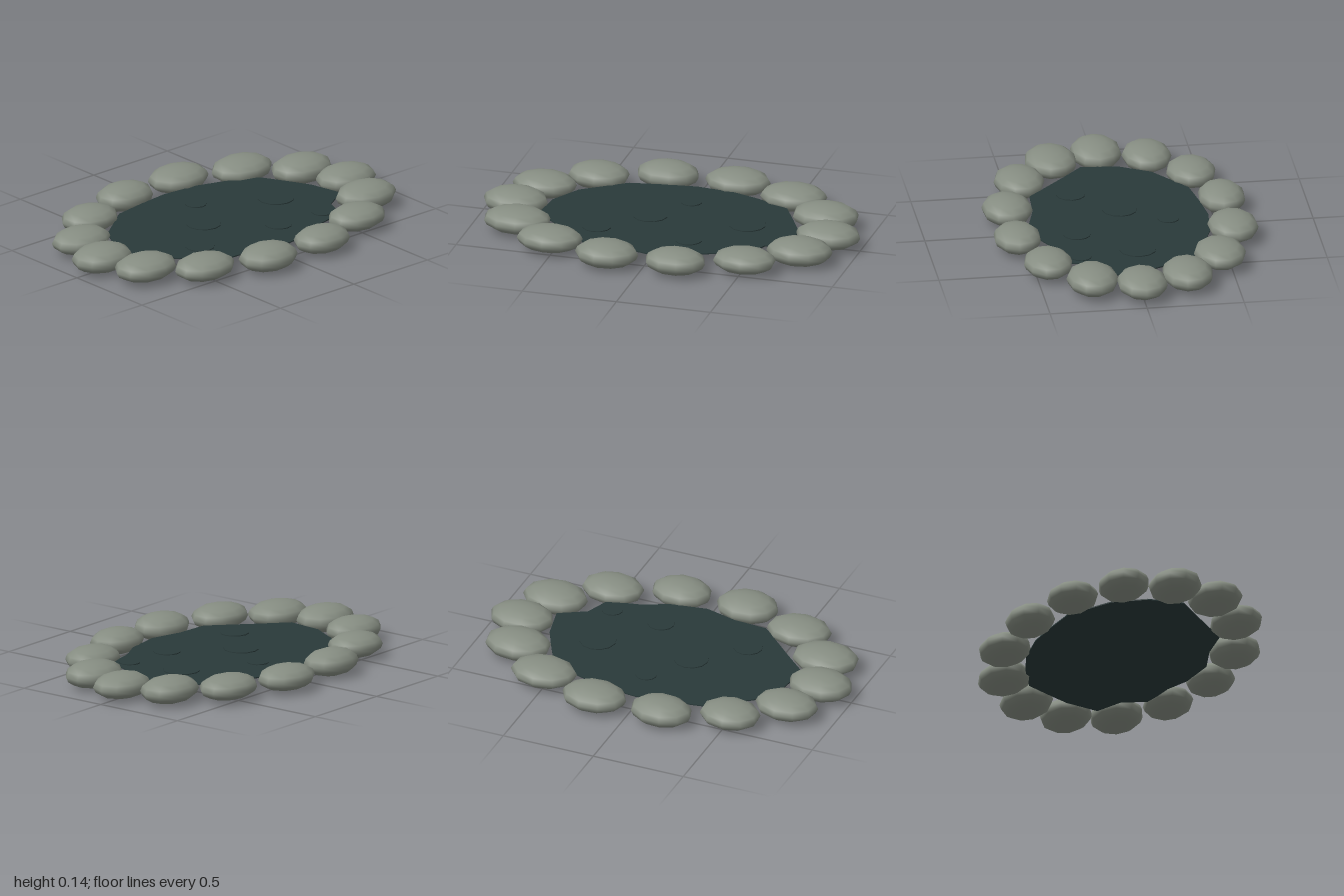
import * as THREE from 'three';

export function createModel() {
  const model = new THREE.Group();
  model.name = 'stoneRingedPond';

  const stoneMat = new THREE.MeshStandardMaterial({ color: 0x868d82 });
  stoneMat.name = 'grey stone';
  const waterMat = new THREE.MeshStandardMaterial({ color: 0x2a3a3a });
  waterMat.name = 'dark water';

  // Water: thin sheet with an uneven shoreline tucked between the stones
  const shore = [
    [0, -0.46], [0.2, -0.44], [0.35, -0.39], [0.52, -0.31], [0.6, -0.16], [0.65, -0.06],
    [0.69, 0.12], [0.55, 0.2], [0.5, 0.33], [0.32, 0.37], [0.2, 0.43], [0, 0.465],
    [-0.17, 0.42], [-0.35, 0.41], [-0.57, 0.2], [-0.68, 0.1], [-0.66, -0.09],
    [-0.57, -0.25], [-0.35, -0.41], [-0.17, -0.44],
  ];
  const waterY = 0.06;
  const outline = new THREE.Shape(shore.map(([x, z]) => new THREE.Vector2(x, -z)));
  const waterGeo = new THREE.ExtrudeGeometry(outline, { depth: 0.006, bevelEnabled: false });
  waterGeo.rotateX(-Math.PI / 2);
  const water = new THREE.Mesh(waterGeo, waterMat);
  water.name = 'water';
  water.position.y = waterY - 0.006;
  model.add(water);

  // Ripples: very thin discs lying on the water [x, z, radius]
  const ripples = [
    [-0.34, 0.2, 0.075], [-0.12, -0.02, 0.09], [0.03, -0.25, 0.055],
    [0.39, -0.04, 0.095], [0.16, 0.24, 0.07], [0.44, 0.26, 0.055],
  ];
  ripples.forEach(([x, z, r], i) => {
    const ripple = new THREE.Mesh(new THREE.CylinderGeometry(r, r, 0.005, 12), waterMat);
    ripple.name = `ripple${i + 1}`;
    ripple.position.set(x, waterY + 0.0025, z);
    model.add(ripple);
  });

  // Border stones: flattened low-poly spheres [x, z, half width, half depth]
  const stones = [
    [0.83, 0, 0.17, 0.13], [0.745, -0.245, 0.175, 0.132], [0.515, -0.445, 0.175, 0.133],
    [0.185, -0.56, 0.172, 0.13], [-0.185, -0.555, 0.165, 0.122], [-0.52, -0.445, 0.16, 0.128],
    [-0.75, -0.25, 0.167, 0.127], [-0.83, 0, 0.17, 0.132], [-0.75, 0.245, 0.177, 0.135],
    [-0.52, 0.44, 0.172, 0.13], [-0.185, 0.55, 0.165, 0.13], [0.18, 0.55, 0.16, 0.122],
    [0.515, 0.44, 0.165, 0.125], [0.75, 0.245, 0.172, 0.133],
  ];
  stones.forEach(([x, z, w, d], i) => {
    const geo = new THREE.SphereGeometry(1, 10, 8);
    geo.rotateY(i * 0.45); // vary where the facets fall
    geo.scale(w, 0.066 + 0.003 * Math.sin(i * 2), d);
    const stone = new THREE.Mesh(geo, stoneMat);
    stone.name = `borderStone${i + 1}`;
    stone.position.set(x, 0.072, z);
    model.add(stone);
  });

  return model;
}
